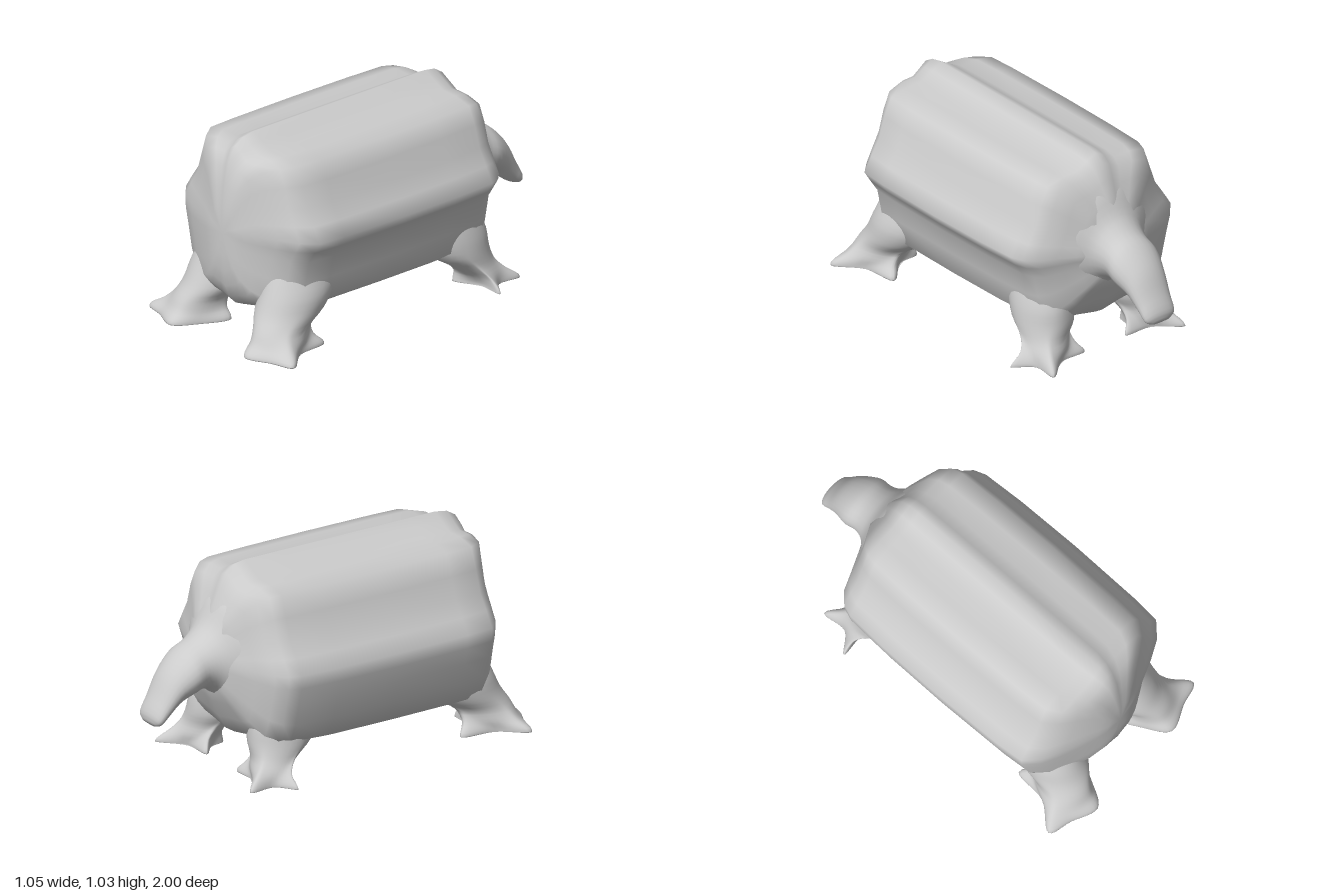
import * as THREE from 'three';

const V = (x, y, z) => new THREE.Vector3(x, y, z);
const material = new THREE.MeshStandardMaterial({ color: 0xcccccc });

// Adds extra rings by running a spline along every column of points.
function refine(rings, steps) {
  const columns = rings[0].map((_, i) => {
    const curve = new THREE.CatmullRomCurve3(rings.map(r => r[i]));
    return Array.from({ length: steps + 1 }, (_, k) => curve.getPoint(k / steps));
  });
  return Array.from({ length: steps + 1 }, (_, k) => columns.map(c => c[k]));
}

// Skins closed rings of equal length and closes both ends.
function loft(name, rings) {
  const n = rings[0].length, last = (rings.length - 1) * n;
  const points = rings.flat();
  const centre = ring => ring.reduce((s, p) => s.add(p), V(0, 0, 0)).divideScalar(n);
  points.push(centre(rings[0]), centre(rings[rings.length - 1]));
  const index = [];
  for (let i = 0; i < n; i++) {
    const j = (i + 1) % n;
    for (let a = 0; a < last; a += n) {
      index.push(a + i, a + j, a + n + j, a + i, a + n + j, a + n + i);
    }
    index.push(points.length - 2, j, i, points.length - 1, last + i, last + j);
  }
  // Turn the faces outwards if the enclosed volume is negative.
  let volume = 0;
  for (let k = 0; k < index.length; k += 3) {
    volume += points[index[k]].dot(points[index[k + 1]].clone().cross(points[index[k + 2]]));
  }
  if (volume < 0) index.reverse();
  const geometry = new THREE.BufferGeometry().setFromPoints(points);
  geometry.setIndex(index);
  geometry.computeVertexNormals();
  const mesh = new THREE.Mesh(geometry, material);
  mesh.name = name;
  return mesh;
}

// Ridged shell-like body, fuller low down on its right, shrunk towards both ends.
function makeBody() {
  const leftSide = [
    [0, 1.05], [0.06, 1.02], [0.13, 0.985], [0.23, 0.983], [0.33, 0.96], [0.375, 0.87],
    [0.41, 0.76], [0.46, 0.68], [0.505, 0.605], [0.465, 0.545], [0.42, 0.48], [0.395, 0.36],
    [0.368, 0.235], [0.3, 0.19], [0.13, 0.165], [0, 0.14],
  ];
  const rightSide = [
    [-0.13, 0.165], [-0.3, 0.185], [-0.41, 0.215], [-0.455, 0.32], [-0.485, 0.44], [-0.51, 0.53],
    [-0.515, 0.6], [-0.465, 0.675], [-0.41, 0.75], [-0.37, 0.86], [-0.33, 0.968],
    [-0.23, 0.988], [-0.13, 0.985], [-0.06, 1.02],
  ];
  const section = [...leftSide, ...rightSide];
  const midY = 0.58;
  // z, width scale, scale above the middle, scale below the middle
  const stations = [
    [0.905, 0.08, 0.1, 0.3], [0.9, 0.18, 0.28, 0.5], [0.885, 0.28, 0.52, 0.68],
    [0.86, 0.42, 0.77, 0.82], [0.82, 0.62, 0.91, 0.92], [0.77, 0.82, 0.975, 0.97],
    [0.7, 0.96, 1, 1], [0.55, 0.985, 1, 1], [0.15, 1, 1, 1], [-0.2, 0.99, 1, 1],
    [-0.42, 0.965, 1, 0.98], [-0.48, 0.92, 0.98, 0.95], [-0.53, 0.82, 0.91, 0.88],
    [-0.57, 0.63, 0.75, 0.72], [-0.61, 0.45, 0.56, 0.52], [-0.64, 0.32, 0.38, 0.36],
    [-0.65, 0.15, 0.15, 0.15],
  ];
  return loft('body', stations.map(([z, sx, up, down]) =>
    section.map(([x, y]) => V(x * sx, midY + (y - midY) * (y > midY ? up : down), z))));
}

// Drooping blunt tail, each section set by its upper and lower point and half width.
function makeTail() {
  const sections = [
    [-0.5, 0.95, -0.5, 0.27, 0.34], [-0.58, 0.88, -0.57, 0.33, 0.255],
    [-0.65, 0.765, -0.64, 0.415, 0.17], [-0.72, 0.705, -0.7, 0.445, 0.14],
    [-0.8, 0.66, -0.77, 0.43, 0.143], [-0.89, 0.57, -0.84, 0.4, 0.118],
    [-0.95, 0.46, -0.91, 0.34, 0.1], [-0.995, 0.37, -0.955, 0.31, 0.088],
    [-0.995, 0.33, -0.975, 0.308, 0.05],
  ];
  const rings = sections.map(([tz, ty, bz, by, w]) => Array.from({ length: 24 }, (_, i) => {
    const a = (i / 24) * Math.PI * 2, c = Math.cos(a) / 2;
    return V(Math.sin(a) * w, (ty + by) / 2 + (ty - by) * c, (tz + bz) / 2 + (tz - bz) * c);
  }));
  return loft('tail', refine(rings, 28));
}

// Leg: oval sections that blend into a pointed foot outline near the ground.
function makeLeg(name, side, outline, sections) {
  const curve = new THREE.CatmullRomCurve3(outline.map(([x, z]) => V(x, 0, z)), true);
  const foot = Array.from({ length: 48 }, (_, i) => curve.getPoint(i / 48));
  const cx = outline.reduce((s, p) => s + p[0], 0) / outline.length;
  const cz = outline.reduce((s, p) => s + p[1], 0) / outline.length;
  const rings = sections.map(([y, x, z, rx, rz, blend]) => foot.map(p => {
    const a = Math.atan2(p.z - cz, p.x - cx);
    const q = V(x + Math.cos(a) * rx, 0, z + Math.sin(a) * rz).lerp(p, blend);
    return V(q.x * side, y, q.z);
  }));
  return loft(name, refine(rings, 24));
}

// Foot outlines alternate toe tip and hollow, as x, z.
const frontFoot = [
  [0.525, 0.91], [0.41, 0.95], [0.27, 1.0], [0.19, 0.89],
  [0.13, 0.73], [0.25, 0.71], [0.39, 0.59], [0.42, 0.77],
];
const backFoot = [
  [0.51, -0.45], [0.38, -0.45], [0.23, -0.39], [0.2, -0.48],
  [0.13, -0.555], [0.28, -0.565], [0.415, -0.665], [0.415, -0.53],
];
// y, centre x, centre z, radius x, radius z, blend to the foot outline
const frontSections = [
  [0.52, 0.22, 0.58, 0.1, 0.16, 0], [0.4, 0.24, 0.61, 0.125, 0.19, 0],
  [0.29, 0.255, 0.645, 0.15, 0.2, 0], [0.2, 0.26, 0.7, 0.15, 0.185, 0],
  [0.13, 0.285, 0.77, 0.122, 0.15, 0.1], [0.075, 0.3, 0.79, 0.125, 0.14, 0.4],
  [0.038, 0.3, 0.79, 0.13, 0.14, 0.92], [0.018, 0.3, 0.79, 0.13, 0.14, 1],
  [0.022, 0.3, 0.79, 0.12, 0.12, 0.7],
];
const backSections = [
  [0.52, 0.22, -0.32, 0.1, 0.14, 0], [0.4, 0.24, -0.34, 0.125, 0.17, 0],
  [0.29, 0.255, -0.37, 0.14, 0.18, 0], [0.2, 0.26, -0.395, 0.145, 0.165, 0],
  [0.13, 0.285, -0.44, 0.12, 0.12, 0.1], [0.075, 0.3, -0.48, 0.115, 0.1, 0.4],
  [0.034, 0.3, -0.5, 0.12, 0.1, 0.92], [0.016, 0.3, -0.5, 0.12, 0.1, 1],
  [0.02, 0.3, -0.5, 0.11, 0.09, 0.7],
];

export function createModel() {
  const model = new THREE.Group();
  model.name = 'creature';
  model.add(makeBody(), makeTail());
  for (const [label, side] of [['Left', 1], ['Right', -1]]) {
    model.add(makeLeg('frontLeg' + label, side, frontFoot, frontSections));
    model.add(makeLeg('backLeg' + label, side, backFoot, backSections));
  }
  // Rest the soles on the ground.
  model.position.y = -new THREE.Box3().setFromObject(model).min.y;
  return model;
}
